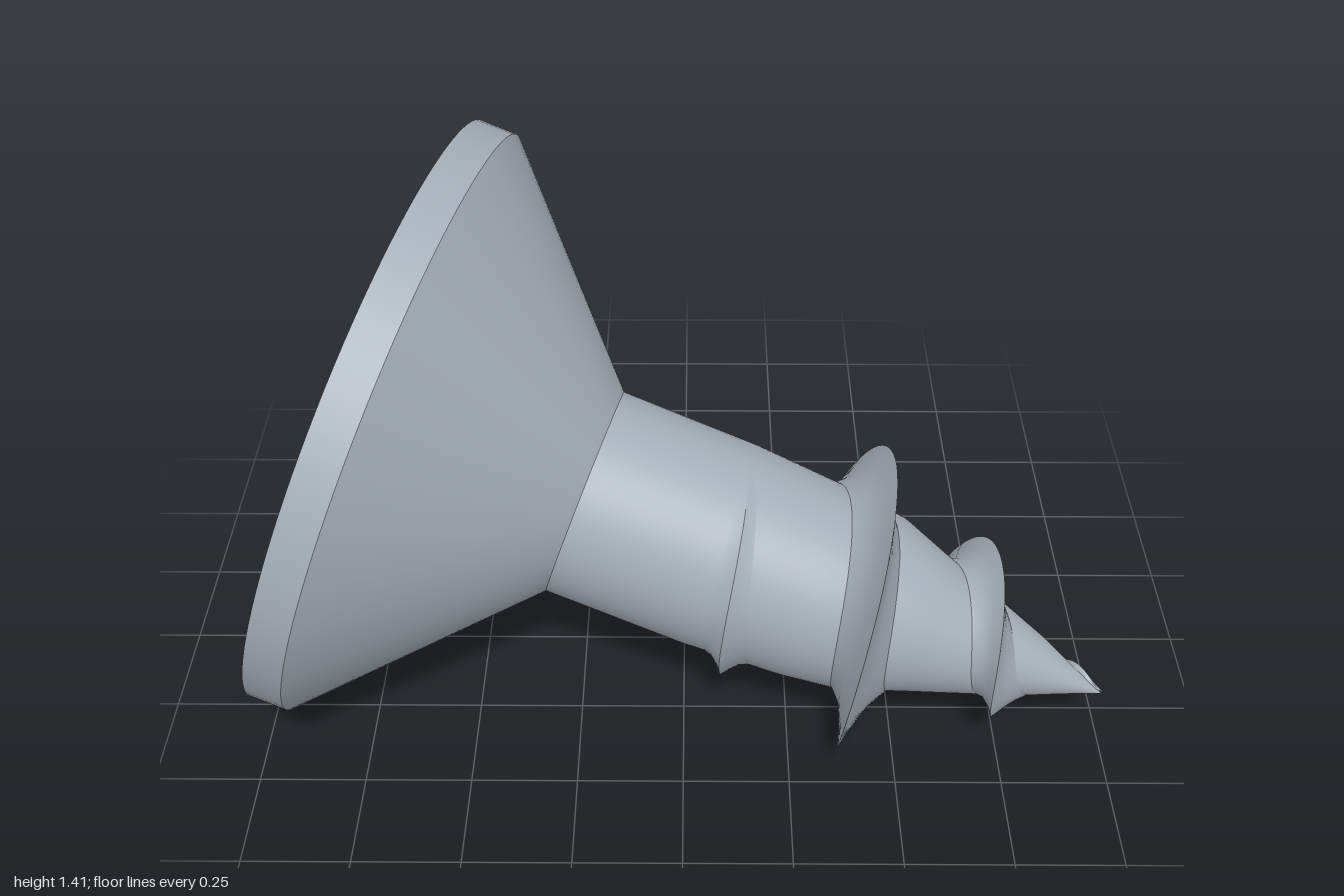
import * as THREE from 'three';

const HEAD_R = 0.722, NECK_R = 0.252, RIM = 0.09, NECK = 0.54;

// Profiles along the screw axis: [distance from head face, radius]
const SHAFT = [[NECK, NECK_R], [0.88, 0.25], [1.12, 0.236], [1.27, 0.217], [1.4, 0.17],
  [1.56, 0.115], [1.675, 0.075], [1.766, 0.036], [1.853, 0.001]];
const CREST = [[0.8, 0.24], [0.87, 0.25], [0.958, 0.271], [1.03, 0.3], [1.09, 0.334], [1.18, 0.367],
  [1.23, 0.373], [1.276, 0.366], [1.34, 0.33], [1.4, 0.286], [1.517, 0.22], [1.609, 0.159],
  [1.673, 0.108], [1.74, 0.07], [1.85, 0.004]];

function lookup(table, t) {
  let i = 0;
  while (i < table.length - 2 && t > table[i + 1][0]) i++;
  const [t0, r0] = table[i], [t1, r1] = table[i + 1];
  return THREE.MathUtils.lerp(r0, r1, THREE.MathUtils.clamp((t - t0) / (t1 - t0), 0, 1));
}

// Turned surface around the local z axis
function turned(profile) {
  const pts = profile.map(([t, r]) => new THREE.Vector2(r, t));
  return new THREE.LatheGeometry(pts, 96).rotateX(Math.PI / 2);
}

// Smooth surface from a grid of points
function grid(rows, cols, point) {
  const pos = [], index = [];
  for (let i = 0; i <= rows; i++) {
    for (let j = 0; j <= cols; j++) {
      pos.push(...point(i / rows, j));
      if (i < rows && j < cols) {
        const a = i * (cols + 1) + j, b = a + cols + 1;
        index.push(a, b, a + 1, b, b + 1, a + 1);
      }
    }
  }
  const g = new THREE.BufferGeometry();
  g.setAttribute('position', new THREE.Float32BufferAttribute(pos, 3));
  g.setIndex(index);
  g.computeVertexNormals();
  return g;
}

// One flank of the helical thread; side -1 faces the head, +1 the tip
function threadFlank(side) {
  const start = 0.82, end = 1.845, pitch = 0.32, half = 0.065;
  const steps = [[0, 1], [0.2, 0.66], [0.5, 0.28], [1, 0]]; // [offset, height] from crest to root
  if (side < 0) steps.reverse();
  return grid(340, 3, (f, j) => {
    const t = start + (end - start) * f;
    const angle = (t - 0.87) / pitch * Math.PI * 2;
    const [offset, height] = steps[j];
    const z = Math.min(t + side * offset * half, 1.853);
    const root = Math.max(lookup(SHAFT, z) - 0.005, 0.001);
    const r = THREE.MathUtils.lerp(root, Math.max(lookup(CREST, t), root), height);
    return [r * Math.cos(angle), r * Math.sin(angle), z];
  });
}

// Outline of the cross recess with thin diagonal slits
function recessOutline() {
  const quarter = [[0.41, 0.13], [0.151, 0.13], [0.333, 0.311], [0.311, 0.333], [0.13, 0.151], [0.13, 0.41]];
  const pts = [];
  for (let k = 0; k < 4; k++) {
    for (const [x, y] of quarter) {
      pts.push(new THREE.Vector2(x, y).rotateAround(new THREE.Vector2(), k * Math.PI / 2));
    }
  }
  return pts;
}

// Recess walls slope from the outline to a small square floor
function recessWalls(outline, depth, floor) {
  const pos = [];
  const top = (p) => [p.x, p.y, 0];
  const low = (p) => [THREE.MathUtils.clamp(p.x, -floor, floor), THREE.MathUtils.clamp(p.y, -floor, floor), depth];
  outline.forEach((p, i) => {
    const q = outline[(i + 1) % outline.length];
    pos.push(...top(p), ...low(p), ...low(q), ...top(p), ...low(q), ...top(q));
  });
  const g = new THREE.BufferGeometry();
  g.setAttribute('position', new THREE.Float32BufferAttribute(pos, 3));
  g.computeVertexNormals();
  return g;
}

export function createModel() {
  const steel = new THREE.MeshStandardMaterial({ color: 0xa5aeb8 });
  steel.name = 'steel';
  const screw = new THREE.Group();
  screw.name = 'screw';
  const add = (name, geometry) => {
    const mesh = new THREE.Mesh(geometry, steel);
    mesh.name = name;
    screw.add(mesh);
  };

  // Head: face with recess, rim and countersunk cone
  const outline = recessOutline();
  const face = new THREE.Shape().absarc(0, 0, HEAD_R, 0, Math.PI * 2);
  face.holes.push(new THREE.Path(outline));
  add('headFace', new THREE.ShapeGeometry(face, 96).rotateX(Math.PI));
  add('recessWalls', recessWalls(outline, 0.31, 0.11));
  add('recessFloor', new THREE.PlaneGeometry(0.22, 0.22).rotateX(Math.PI).translate(0, 0, 0.31));
  add('headRim', turned([[0, HEAD_R], [RIM, HEAD_R]]));
  add('headCone', turned([[RIM, HEAD_R], [NECK, NECK_R]]));

  // Tapered shaft and thread
  add('shaft', turned(SHAFT));
  add('threadHeadSide', threadFlank(-1));
  add('threadTipSide', threadFlank(1));

  // Tilt so the tip points right, down and forward
  const axis = new THREE.Vector3(1, -0.325, 0.213).normalize();
  const side = new THREE.Vector3().crossVectors(axis, new THREE.Vector3(0, 1, 0)).normalize();
  const up = new THREE.Vector3().crossVectors(side, axis);
  screw.quaternion.setFromRotationMatrix(new THREE.Matrix4().makeBasis(up, side, axis));
  screw.position.set(-0.737, 0.715, -0.01);

  const model = new THREE.Group();
  model.name = 'model';
  model.add(screw);
  return model;
}
